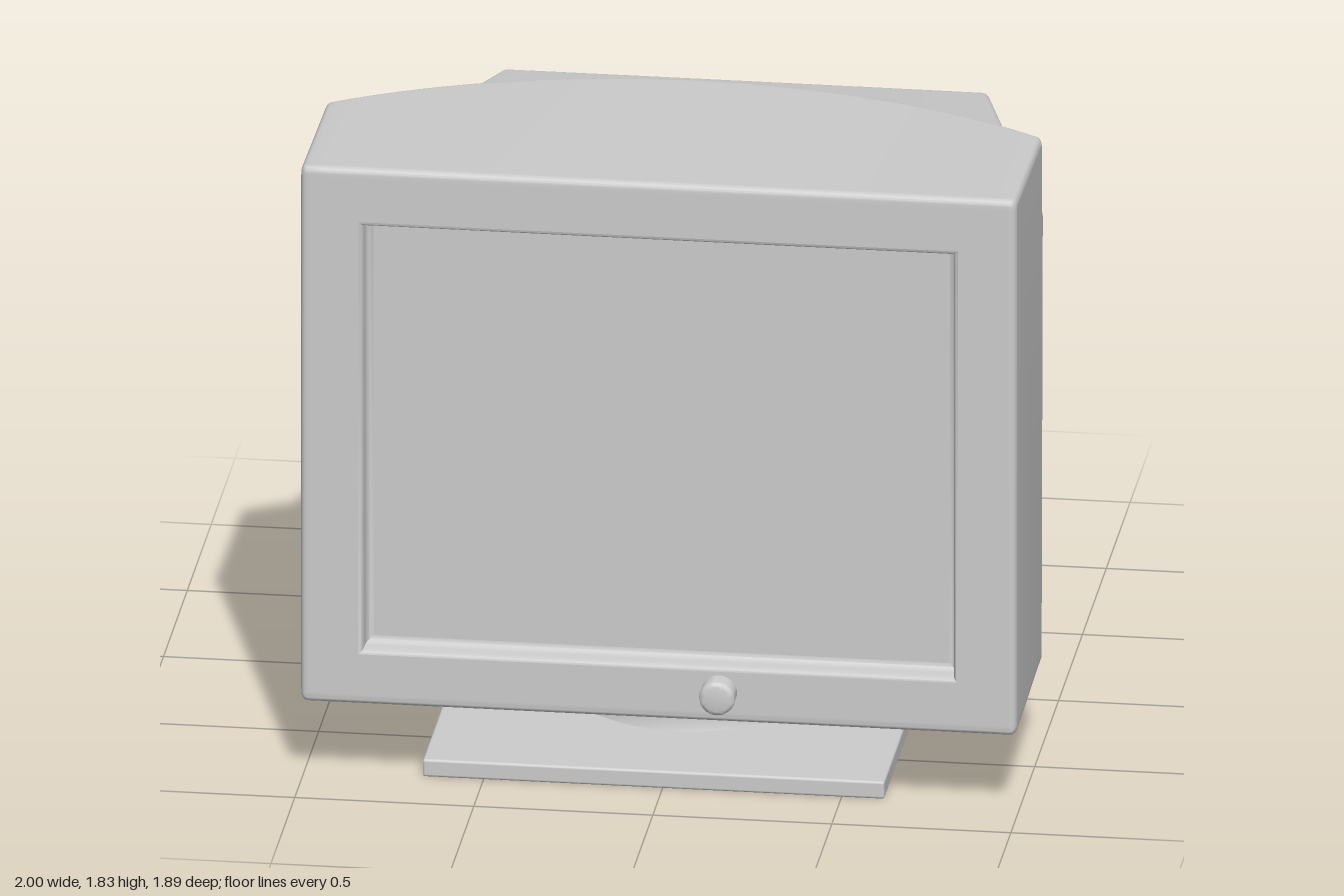
import * as THREE from 'three';
import { toCreasedNormals } from 'three/addons/utils/BufferGeometryUtils.js';
import { RoundedBoxGeometry } from 'three/addons/geometries/RoundedBoxGeometry.js';

const FRONT = 0.885, BACK = -0.945, TOP = 1.835, BOTTOM = 0.24, BEND = 0.33, R = 0.02;
const SCREEN = { w: 0.825, y0: 0.402, y1: 1.665 };

// Half width of the housing: straight at the front, tapering behind the bend
const half = (z) => (z > BEND ? 1 : 1 - 0.32 * (BEND - z) / (BEND - BACK));

// Depth of the curved rear edge of the hood for a column at fraction u
function hoodZ(u) {
  let z = BEND;
  for (let i = 0; i < 8; i++) z = 1.877 - Math.sqrt(1.842 ** 2 - (u * half(z)) ** 2);
  return z;
}

// Rounds the corners [z, y, radius] of a closed outline, with support points beside each curve
function roundCorners(corners) {
  const pts = [];
  let hinge = 0;
  corners.forEach(([z, y, r], i) => {
    const p = new THREE.Vector2(z, y);
    if (!r) {
      hinge = pts.length;
      pts.push(p);
      return;
    }
    const n = corners.length;
    const toward = (k) => new THREE.Vector2(...corners[(k + n) % n].slice(0, 2)).sub(p).normalize();
    const a = toward(i - 1), b = toward(i + 1);
    const at = (dir, d) => p.clone().addScaledVector(dir, d);
    const curve = new THREE.QuadraticBezierCurve(at(a, r), p, at(b, r));
    pts.push(at(a, r * 1.5), ...curve.getPoints(6), at(b, r * 1.5));
  });
  return { pts, hinge };
}

// Side outline of the housing at fraction u, shrunk by d
function outline(u, d) {
  const a = hoodZ(u);
  return roundCorners([
    [FRONT - d, TOP - d, R],
    [a + d, 1.815 - d, R],
    [a + d, 1.595 - d, 0.03],
    [BACK + d, 1.425 - d, R],
    [BACK + d, 0.255 + d, R],
    [BEND + 0.025, 0.255 + d, 0],
    [FRONT - d, BOTTOM + d, R],
  ]);
}

function housingGeometry() {
  // Columns across the width, with rounded side edges
  const edge = [];
  for (let k = 1; k <= 5; k++) {
    const a = k / 5 * Math.PI / 2;
    edge.push({ u: 1, out: R * Math.sin(a), d: R * (1 - Math.cos(a)) });
  }
  edge.push({ u: 1, out: R, d: R * 1.5 });
  const cols = edge.map((e) => ({ u: -1, out: -e.out, d: e.d })).reverse();
  for (let i = 0; i <= 40; i++) cols.push({ u: i / 20 - 1, out: 0, d: 0 });
  cols.push(...edge);

  const pos = [], idx = [];
  let n = 0, hinge = 0;
  for (const c of cols) {
    const o = outline(c.u, c.d);
    n = o.pts.length;
    hinge = o.hinge;
    for (const p of o.pts) pos.push(c.u * (half(p.x) - R) + c.out, p.y, p.x);
  }
  for (let i = 0; i < cols.length - 1; i++) {
    const middle = cols[i].d === 0 && cols[i + 1].d === 0;
    for (let j = 0; j < n; j++) {
      if (middle && j === n - 1) continue; // open where the bezel sits
      const k = (j + 1) % n, p = i * n, q = p + n;
      idx.push(p + j, q + j, q + k, p + j, q + k, p + k);
    }
  }
  // Side walls, folded at the bend
  const last = (cols.length - 1) * n;
  for (let j = 0; j < n; j++) {
    const k = (j + 1) % n;
    if (j === hinge || k === hinge) continue;
    idx.push(hinge, j, k, last + hinge, last + k, last + j);
  }
  return meshGeometry(pos, idx, 0.4);
}

function meshGeometry(pos, idx, crease) {
  const g = new THREE.BufferGeometry();
  g.setAttribute('position', new THREE.Float32BufferAttribute(pos, 3));
  g.setIndex(idx);
  return toCreasedNormals(g, crease);
}

// Counter-clockwise rectangle around the screen opening, shrunk by e
const opening = (e) => [
  [-SCREEN.w + e, SCREEN.y0 + e], [SCREEN.w - e, SCREEN.y0 + e],
  [SCREEN.w - e, SCREEN.y1 - e], [-SCREEN.w + e, SCREEN.y1 - e],
];
const toVectors = (pts) => pts.map(([x, y]) => new THREE.Vector2(x, y));

// Flat front frame around the screen
function bezelGeometry() {
  const x = 1 - R, y0 = BOTTOM + R * 1.5, y1 = TOP - R * 1.5;
  const shape = new THREE.Shape(toVectors([[-x, y0], [x, y0], [x, y1], [-x, y1]]));
  shape.holes.push(new THREE.Path(toVectors(opening(-0.012))));
  return new THREE.ShapeGeometry(shape).translate(0, 0, FRONT);
}

// Rounded walls leading back to the screen
function recessGeometry() {
  const rings = [[-0.012, 0], [-0.006, 0.002], [-0.002, 0.006], [0, 0.012],
    [0, 0.045], [0.003, 0.058], [0.01, 0.067], [0.02, 0.07]];
  const pos = [], idx = [];
  for (const [e, depth] of rings) {
    for (const [x, y] of opening(e)) pos.push(x, y, FRONT - depth);
  }
  for (let i = 0; i < rings.length - 1; i++) {
    for (let j = 0; j < 4; j++) {
      const a = i * 4 + j, b = i * 4 + (j + 1) % 4;
      idx.push(a, b, b + 4, a, b + 4, a + 4);
    }
  }
  return meshGeometry(pos, idx, 0.7);
}

const lathe = (pts, segments) =>
  toCreasedNormals(new THREE.LatheGeometry(toVectors(pts), segments), 0.6);

export function createModel() {
  const group = new THREE.Group();
  const material = new THREE.MeshStandardMaterial({ color: 0xcccccc });
  const add = (name, geometry, x = 0, y = 0, z = 0) => {
    const mesh = new THREE.Mesh(geometry, material);
    mesh.name = name;
    mesh.position.set(x, y, z);
    group.add(mesh);
    return mesh;
  };

  add('housing', housingGeometry());
  add('bezel', bezelGeometry());
  add('screenRecess', recessGeometry());
  add('screen', new THREE.PlaneGeometry(SCREEN.w * 2 - 0.04, SCREEN.y1 - SCREEN.y0 - 0.04),
    0, (SCREEN.y0 + SCREEN.y1) / 2, FRONT - 0.07);

  // Power button with a rounded rim
  const button = add('powerButton', lathe(
    [[0.05, -0.01], [0.05, 0.045], [0.048, 0.053], [0.043, 0.058], [0.036, 0.06], [0, 0.06]], 32),
    0.17, 0.33, FRONT);
  button.rotation.x = Math.PI / 2;

  // Swivel stand
  add('swivelBowl', lathe(
    [[0.345, 0.04], [0.335, 0.06], [0.333, 0.098], [0.345, 0.101], [0.375, 0.112], [0.405, 0.132],
      [0.43, 0.16], [0.448, 0.195], [0.457, 0.23], [0.457, 0.26], [0, 0.26]], 64), 0, 0, 0.157);
  add('basePlate', new RoundedBoxGeometry(1.29, 0.052, 1.285, 3, 0.008), -0.025, 0.026, 0.157);

  return group;
}
